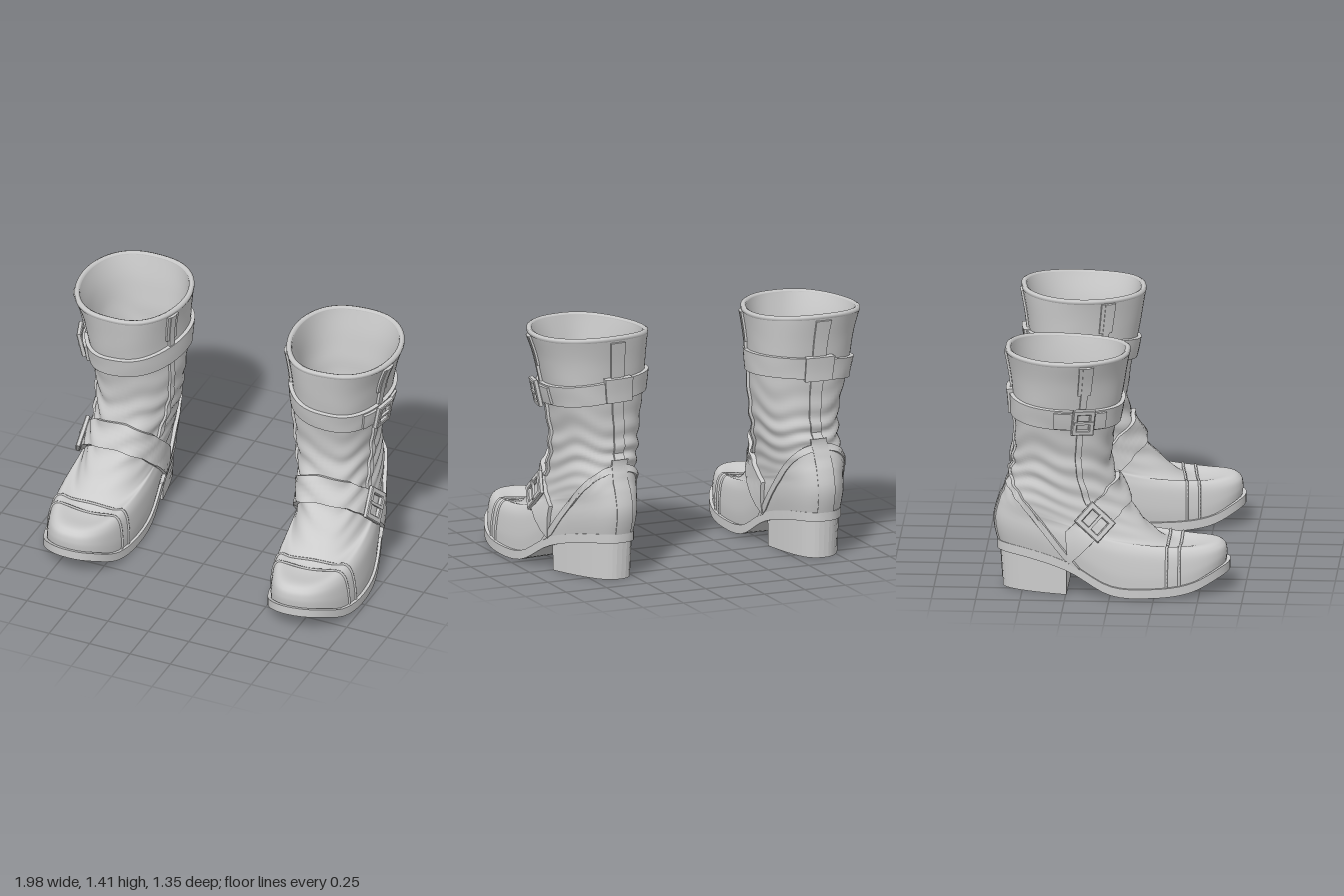
import * as THREE from 'three';
import { mergeVertices, toCreasedNormals } from 'three/addons/utils/BufferGeometryUtils.js';

const PI = Math.PI;
const material = new THREE.MeshStandardMaterial({ color: 0xcccccc, side: THREE.DoubleSide });
const lerp = THREE.MathUtils.lerp;

// Rings of the upper, fanning from the sole over the instep to the rim:
// front z, front y, back z, back y, front half-width, back half-width, sole sag, sideways shift
const RINGS = [
  [0.645, 0.16, -0.625, 0.25, 0.28, 0.2, 1, 0],
  [0.65, 0.21, -0.645, 0.33, 0.277, 0.215, 0.85, 0],
  [0.635, 0.26, -0.65, 0.4, 0.26, 0.22, 0.5, 0],
  [0.57, 0.288, -0.64, 0.45, 0.23, 0.22, 0.35, 0],
  [0.36, 0.278, -0.625, 0.5, 0.21, 0.22, 0.2, 0],
  [0.23, 0.35, -0.605, 0.55, 0.205, 0.22, 0.1, 0],
  [0.13, 0.44, -0.585, 0.61, 0.205, 0.22, 0, -0.005],
  [0.06, 0.55, -0.565, 0.68, 0.21, 0.225, 0, -0.015],
  [0.01, 0.68, -0.55, 0.75, 0.22, 0.235, 0, -0.022],
  [0, 0.8, -0.545, 0.84, 0.23, 0.245, 0, -0.025],
  [0.02, 0.95, -0.55, 0.96, 0.245, 0.27, 0, -0.018],
  [0.05, 1.1, -0.56, 1.1, 0.26, 0.295, 0, -0.008],
  [0.08, 1.25, -0.575, 1.25, 0.275, 0.32, 0, 0],
  [0.105, 1.365, -0.595, 1.38, 0.3, 0.35, 0, 0.012],
];
const TOP = RINGS.length - 1;
// Height of the welt at even steps from heel to toe
const WELT = [0.265, 0.245, 0.185, 0.065, 0.05, 0.075, 0.165];

function spline(get, n, t) {
  const i = Math.min(Math.max(Math.floor(t), 0), n - 2), f = t - i;
  const a = get(Math.max(i - 1, 0)), b = get(i), c = get(i + 1), d = get(Math.min(i + 2, n - 1));
  return b + 0.5 * f * (c - a + f * (2 * a - 5 * b + 4 * c - d + f * (3 * (b - c) + d - a)));
}
const welt = z => spline(i => WELT[i], 7, THREE.MathUtils.clamp((z + 0.66) / 0.22, 0, 6));

// Point on the upper: v climbs the rings, angle a runs from the front (0) to the outer side
function ringPoint(v, a, creases = true) {
  const [zf, yf, zb, yb, wf, wb, sag, xc] = RINGS[0].map((_, k) => spline(i => RINGS[i][k], TOP + 1, v));
  const u = (1 + Math.cos(a)) / 2, s = Math.sin(a);
  const z = lerp(zb, zf, u);
  const w = lerp(wb, wf, u * u * (3 - 2 * u));
  const x = w * Math.sign(s) * Math.abs(s) ** 0.8;
  const y = lerp(yb, yf, u) + sag * (welt(z) - lerp(0.25, 0.16, u));
  const bend = 0.03 * Math.sin(PI * u) * Math.max(0, 1 - v / 7);
  let k = 1;
  if (creases) {
    const ankle = Math.exp(-(((v - 7.5) / 2.2) ** 2));
    k += 0.03 * ankle * Math.sin(v * 5.5 + 2.2 * Math.sin(2 * a + 0.6) + Math.sin(5 * a));
    k += 0.012 * Math.sin(3 * a + v * 1.3) * Math.min(1, v / 3) * (v > 4 ? 1 : 0.4);
  }
  const wave = 0.005 * Math.max(0, v - 11.5) * Math.cos(2 * a);
  const zc = (zf + zb) / 2;
  return new THREE.Vector3(xc + bend + x * k, y + wave, v > 4 ? zc + (z - zc) * (1 + (k - 1) * Math.min(1, v - 4)) : z);
}
function normalAt(v, a) {
  const e = 0.04, lo = Math.max(v - e, 0), hi = Math.min(v + e, TOP);
  const da = ringPoint(v, a + e, false).sub(ringPoint(v, a - e, false));
  return da.cross(ringPoint(hi, a, false).sub(ringPoint(lo, a, false))).normalize();
}
const surface = (v, a, off = 0) => ringPoint(v, a).addScaledVector(normalAt(v, a), off);

function bisect(f, lo, hi) {
  for (let i = 0; i < 24; i++) {
    const m = (lo + hi) / 2;
    if (f(m)) lo = m; else hi = m;
  }
  return (lo + hi) / 2;
}
// Ring position at angle a where y + kx x + kz z = c
const solve = (a, [kx, kz], c) => bisect(v => {
  const p = ringPoint(v, a, false);
  return p.y + kx * p.x + kz * p.z < c;
}, 0, TOP);
const LEVEL = [0, 0], CALF = [0.1, 0.08], INSTEP = [0, -1], COUNTER = [0, 1.2];

function grid(fn, nu, nv, flip = false) {
  const pos = [], idx = [];
  for (let j = 0; j <= nv; j++) for (let i = 0; i <= nu; i++) pos.push(...fn(i, j).toArray());
  for (let j = 0; j < nv; j++) for (let i = 0; i < nu; i++) {
    const a = j * (nu + 1) + i, b = a + 1, c = b + nu + 1, d = c - 1;
    idx.push(...(flip ? [a, c, b, a, d, c] : [a, b, c, a, c, d]));
  }
  const g = new THREE.BufferGeometry();
  g.setAttribute('position', new THREE.Float32BufferAttribute(pos, 3));
  g.setIndex(idx);
  const merged = mergeVertices(g, 1e-5);
  merged.computeVertexNormals();
  return merged;
}

function createBoot(name) {
  const boot = new THREE.Group();
  boot.name = name;
  const add = (part, geometry) => {
    const m = new THREE.Mesh(geometry, material);
    m.name = part;
    boot.add(m);
  };

  // Leather upper, lining, nearly level insole and rolled rim
  const N = 64, M = TOP * 6;
  const turn = i => (i % N) / N * 2 * PI;
  add('upper', grid((i, j) => surface(j / 6, turn(i)), N, M));
  add('lining', grid((i, j) => surface(1 + j / 6, turn(i), -0.03), N, M - 6, true));
  add('insole', grid((i, j) => {
    const a = i / 32 * PI, p = surface(1, a, -0.03).lerp(surface(1, -a, -0.03), j / 6);
    p.y = lerp(p.y, 0.24, 0.6);
    return p;
  }, 32, 6));
  const rim = Array.from({ length: 40 }, (_, i) => surface(TOP, i / 40 * 2 * PI, -0.014));
  add('rim', new THREE.TubeGeometry(new THREE.CatmullRomCurve3(rim, true), 64, 0.017, 6, true));

  // Raised leather piece between two cutting planes of slope k at c0 and c1
  function band(part, a0, a1, k, c0, c1, off, nu = 24, nv = 6) {
    const geo = grid((i, j) => {
      const edge = i === 0 || i === nu + 2 || j === 0 || j === nv + 2;
      const a = lerp(a0, a1, THREE.MathUtils.clamp((i - 1) / nu, 0, 1));
      const t = THREE.MathUtils.clamp((j - 1) / nv, 0, 1);
      return surface(lerp(solve(a, k, c0), solve(a, k, c1), t), a, edge ? -0.01 : off);
    }, nu + 2, nv + 2);
    add(part, toCreasedNormals(geo, 0.7));
  }
  band('calfStrap', -PI / 2, PI * 1.5, CALF, 0.98, 1.1, 0.022, 56);
  band('calfStrapEnd', 0.75, 1.75, CALF, 0.99, 1.09, 0.036, 12);
  band('instepStrap', -1.95, 1.95, INSTEP, 0.41, 0.62, 0.026, 44);
  band('heelCounter', 1.85, 2 * PI - 1.85, COUNTER, -9, -0.05, 0.012, 36, 10);
  band('counterTrim', 1.85, 2 * PI - 1.85, COUNTER, -0.09, -0.04, 0.02, 36, 2);
  band('heelStrip', PI - 0.14, PI + 0.14, LEVEL, 0.25, 0.68, 0.02, 4, 14);
  band('backStrip', PI - 0.08, PI + 0.08, LEVEL, 0.68, 1.37, 0.012, 3, 24);
  band('backStrapLoop', PI - 0.2, PI + 0.2, LEVEL, 1.02, 1.16, 0.036, 5, 4);
  for (const s of [1, -1]) {
    band('sideSeam', s * 1.23 - 0.06, s * 1.23 + 0.06, LEVEL, 0.52, 1.355, 0.016, 3, 30);
    band('pullTab', s * 1.23 - 0.12, s * 1.23 + 0.12, LEVEL, 1.18, 1.355, 0.012, 4, 6);
  }

  // Seams across the toe cap and vamp
  for (const z of [0.32, 0.39]) {
    const vMax = bisect(v => ringPoint(v, 0).z > z, 0, 6);
    const sideAt = (v, s) => surface(v, s * bisect(a => ringPoint(v, a).z > z, 0, PI), 0.001);
    const pts = [];
    for (let i = -8; i <= 8; i++) pts.push(sideAt(vMax * (1 - Math.abs(i) / 8), i < 0 ? -1 : 1));
    add('toeSeam', new THREE.TubeGeometry(new THREE.CatmullRomCurve3(pts), 40, 0.008, 5));
  }

  // Curved sole with a welt standing slightly proud
  const sole = new THREE.BoxGeometry(2, 1, 1, 8, 1, 40);
  const p = sole.attributes.position;
  for (let i = 0; i < p.count; i++) {
    const a = (0.5 - p.getZ(i)) * PI, y = p.getY(i);
    const outer = ringPoint(0, a, false), inner = ringPoint(0, -a, false);
    const x = lerp(inner.x, outer.x, 0.5 + p.getX(i) * 0.535);
    p.setXYZ(i, x, welt(outer.z) + 0.006 - (0.5 - y) * 0.052, outer.z * 1.035);
  }
  sole.deleteAttribute('uv');
  sole.deleteAttribute('normal');
  add('sole', toCreasedNormals(mergeVertices(sole), 0.7));

  // Stacked heel, each lift a little wider than the one below
  const front = -0.245, lifts = 5, h = 0.22 / lifts;
  const start = bisect(a => ringPoint(0, a, false).z > front, 0, PI);
  for (let l = 0; l < lifts; l++) {
    const k = 0.98 + l * 0.008;
    const pts = Array.from({ length: 25 }, (_, i) => {
      const q = ringPoint(0, lerp(start, 2 * PI - start, i / 24), false);
      return new THREE.Vector2(q.x * k, -(front + (q.z - front) * k));
    });
    const g = new THREE.ExtrudeGeometry(new THREE.Shape(pts), { depth: h, bevelEnabled: false });
    g.rotateX(-PI / 2).translate(0, l * h, 0);
    add('heelLift', g);
  }

  // Buckles on the outer side, turned to follow their straps
  function buckle(part, a, k, c, size, off) {
    const v = solve(a, k, c), n = normalAt(v, a);
    const along = surface(solve(a + 0.15, k, c), a + 0.15).sub(surface(solve(a - 0.15, k, c), a - 0.15));
    const up = n.clone().cross(along).normalize();
    const g = new THREE.Group();
    g.name = part;
    g.position.copy(surface(v, a, off));
    g.quaternion.setFromRotationMatrix(new THREE.Matrix4().makeBasis(up.clone().cross(n), up, n));
    const rect = (path, w, t) => path.moveTo(-w, -t).lineTo(w, -t).lineTo(w, t).lineTo(-w, t).closePath();
    const shape = rect(new THREE.Shape(), size * 0.46, size * 0.56);
    shape.holes.push(rect(new THREE.Path(), size * 0.31, size * 0.41));
    const frame = new THREE.Mesh(new THREE.ExtrudeGeometry(shape,
      { depth: 0.018, bevelSize: 0.005, bevelThickness: 0.005, bevelSegments: 1 }), material);
    frame.name = 'buckleFrame';
    const prong = new THREE.Mesh(new THREE.BoxGeometry(size * 0.85, 0.016, 0.014), material);
    prong.name = 'bucklePin';
    prong.position.z = 0.02;
    g.add(frame, prong);
    boot.add(g);
  }
  buckle('calfBuckle', 1.23, CALF, 1.045, 0.13, 0.036);
  buckle('instepBuckle', 1.32, INSTEP, 0.515, 0.155, 0.03);
  return boot;
}

export function createModel() {
  const model = new THREE.Group();
  model.name = 'bootPair';
  const left = createBoot('leftBoot');
  left.position.set(0.666, 0, 0.012);
  left.rotation.y = 0.12;
  const right = createBoot('rightBoot');
  right.position.set(-0.651, 0, 0);
  right.scale.x = -1;
  model.add(left, right);
  return model;
}
